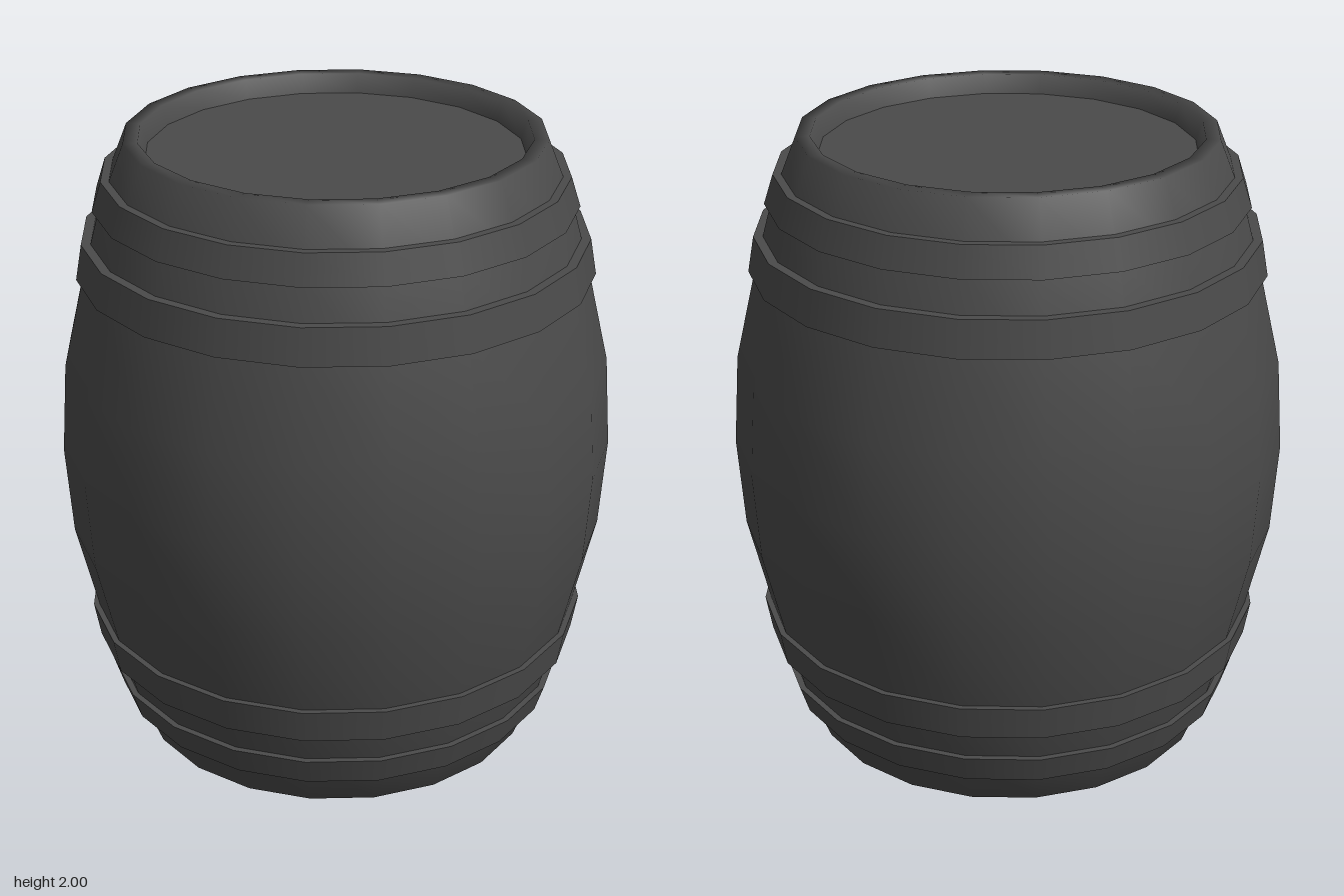
import * as THREE from 'three';
import { mergeGeometries } from 'three/addons/utils/BufferGeometryUtils.js';

const SIDES = 20;
const material = new THREE.MeshStandardMaterial({ color: 0x4a4a4a });
const points = (list) => list.map(([r, y]) => new THREE.Vector2(r, y));

function addPart(group, name, geometry) {
  const mesh = new THREE.Mesh(geometry, material);
  mesh.name = name;
  group.add(mesh);
  return mesh;
}

// Hoop with sharp edges: each side of its section is a separate lathe strip
function hoopGeometry(section) {
  const strips = [];
  for (let i = 0; i < section.length - 1; i++) {
    strips.push(new THREE.LatheGeometry(points([section[i], section[i + 1]]), SIDES));
  }
  return mergeGeometries(strips);
}

export function createModel() {
  const barrel = new THREE.Group();
  barrel.name = 'barrel';

  // Staves: half profile from the recessed head, over the rim, to the belly
  const half = [
    [0.585, 0.06], [0.605, 0], [0.65, 0], [0.73, 0.2], [0.79, 0.42], [0.858, 0.71],
  ];
  const mirrored = half.map(([r, y]) => [r, 2 - y]).reverse();
  addPart(barrel, 'staves',
    new THREE.LatheGeometry(points([...half, [0.878, 1], ...mirrored]), SIDES));

  // Hoops: inner radius, outer radius and height at the narrow and wide edges
  const hoops = [
    { name: 'EndHoop', narrow: [0.68, 0.722, 0.115], wide: [0.72, 0.752, 0.208] },
    { name: 'QuarterHoop', narrow: [0.75, 0.79, 0.312], wide: [0.78, 0.81, 0.425] },
  ];
  for (const { name, narrow, wide } of hoops) {
    const section = [
      [narrow[0], narrow[2]], [narrow[1], narrow[2]], [wide[1], wide[2]], [wide[0], wide[2]],
    ];
    addPart(barrel, 'lower' + name, hoopGeometry(section));
    addPart(barrel, 'upper' + name,
      hoopGeometry(section.map(([r, y]) => [r, 2 - y]).reverse()));
  }

  // Flat heads set inside the rims
  for (const [name, y, tilt] of [['topHead', 1.94, -1], ['bottomHead', 0.06, 1]]) {
    const head = addPart(barrel, name, new THREE.CircleGeometry(0.585, SIDES));
    head.rotation.x = tilt * Math.PI / 2;
    head.position.y = y;
  }

  return barrel;
}
